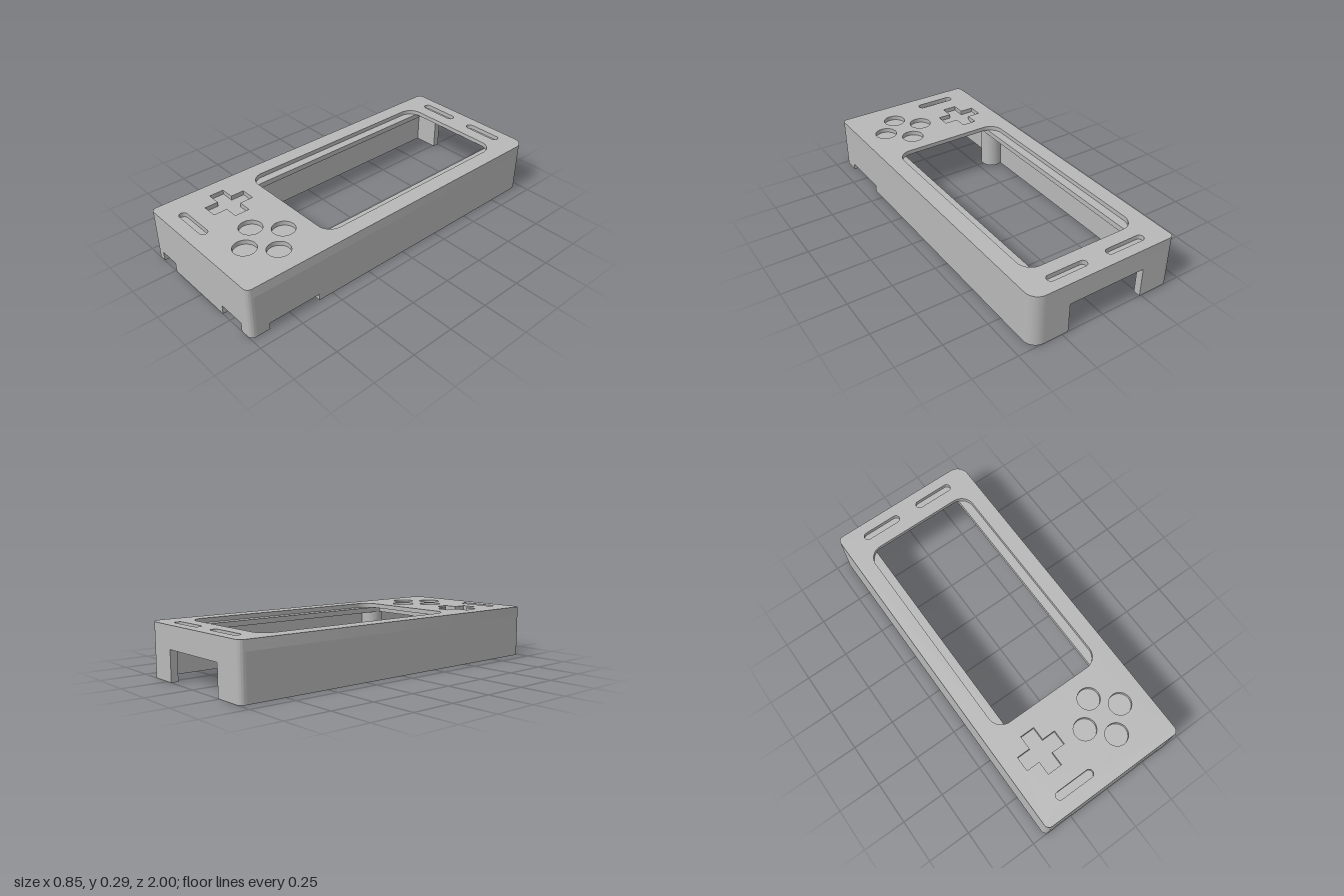
import * as THREE from 'three';
import { toCreasedNormals } from 'three/addons/utils/BufferGeometryUtils.js';

const W = 0.427, L = 1, T = 0.04;            // half width, half length, wall thickness
const TOP = 0.295, FLOOR = 0.27, UNDER = 0.24; // top face, recess floor, roof underside
const R = 0.03, BIG_R = 0.07;                // corner radii

export function createModel() {
  const group = new THREE.Group();
  const grey = new THREE.MeshStandardMaterial({ color: 0xb8b8b8 });
  grey.name = 'shellGrey';

  function add(name, geometry) {
    const mesh = new THREE.Mesh(toCreasedNormals(geometry, 0.6), grey);
    mesh.name = name;
    group.add(mesh);
    return mesh;
  }
  const extrude = (shape, depth) =>
    new THREE.ExtrudeGeometry(shape, { depth, bevelEnabled: false, curveSegments: 20 });
  // Plan shape (x, z) made into a slab between two heights
  const slab = (shape, low, high) =>
    extrude(shape, high - low).rotateX(Math.PI / 2).translate(0, high, 0);

  // Rounded rectangle; radii in the order back left, back right, front right, front left
  function roundRect(path, x0, z0, x1, z1, [a, b, c, d]) {
    path.moveTo(x0 + a, z0);
    path.lineTo(x1 - b, z0);
    path.absarc(x1 - b, z0 + b, b, -Math.PI / 2, 0);
    path.lineTo(x1, z1 - c);
    path.absarc(x1 - c, z1 - c, c, 0, Math.PI / 2);
    path.lineTo(x0 + d, z1);
    path.absarc(x0 + d, z1 - d, d, Math.PI / 2, Math.PI);
    path.lineTo(x0, z0 + a);
    path.absarc(x0 + a, z0 + a, a, Math.PI, Math.PI * 1.5);
    return path;
  }
  const outline = () => roundRect(new THREE.Shape(), -W, -L, W, L, [R, BIG_R, R, R]);

  // Top plate with the screen window and control recesses
  const plate = outline();
  plate.holes.push(roundRect(new THREE.Path(), -0.335, -0.82, 0.335, 0.443, [0.08, 0.08, 0.08, 0.08]));
  for (const [x, z] of [[-0.18, -0.917], [0.175, -0.917], [-0.18, 0.9]]) {
    const r = 0.0225;
    plate.holes.push(roundRect(new THREE.Path(), x - 0.117, z - r, x + 0.117, z + r, [r, r, r, r]));
  }
  for (const [x, z] of [[0.157, 0.585], [0.04, 0.704], [0.275, 0.704], [0.157, 0.822]]) {
    plate.holes.push(new THREE.Path().absarc(x, z, 0.062, 0, Math.PI * 2));
  }
  const a = 0.12, b = 0.042;
  const cross = [[-b, -a], [b, -a], [b, -b], [a, -b], [a, b], [b, b],
    [b, a], [-b, a], [-b, b], [-a, b], [-a, -b], [-b, -b]];
  plate.holes.push(new THREE.Path(cross.map(([x, z]) => new THREE.Vector2(x - 0.215, z + 0.66))));
  add('topPlate', slab(plate, FLOOR, TOP));

  // Lower roof layer: recess floors and side ledges around the display bay
  const ledge = outline();
  ledge.holes.push(roundRect(new THREE.Path(), -0.285, -0.87, 0.285, 0.5, [0, 0, 0, 0]));
  add('roofLedge', slab(ledge, UNDER, FLOOR));

  // Wall panel in elevation, with notches [from, to, height] cut up from the bottom edge
  function panel(from, to, notches) {
    const s = new THREE.Shape();
    s.moveTo(from, 0);
    for (const [n0, n1, h] of notches) {
      s.lineTo(n0, 0);
      s.lineTo(n0, h);
      s.lineTo(n1, h);
      s.lineTo(n1, 0);
    }
    s.lineTo(to, 0);
    s.lineTo(to, UNDER);
    s.lineTo(from, UNDER);
    return extrude(s, T);
  }
  add('frontWall', panel(-W + T, W - T, [[-0.365, -0.243, 0.053], [0.19, 0.35, 0.053]])
    .translate(0, 0, L - T));
  add('backWall', panel(-W + T, W - BIG_R, [[-0.24, 0.213, 0.17]]).translate(0, 0, -L));
  add('leftWall', panel(-L + BIG_R, L - T, [[0.585, 0.89, 0.037]])
    .rotateY(-Math.PI / 2).translate(W, 0, 0));
  add('rightWall', panel(-L + T, L - T, [])
    .rotateY(-Math.PI / 2).translate(-W + T, 0, 0));

  // Rounded wall corners
  for (const [sx, sz, r] of [[1, 1, R], [-1, 1, R], [-1, -1, R], [1, -1, BIG_R]]) {
    const size = Math.max(r, T);
    const pts = [[size, 0]];
    for (let i = 0; i <= 12; i++) {
      const t = (i / 12) * Math.PI / 2;
      pts.push([r - r * Math.sin(t), r - r * Math.cos(t)]);
    }
    pts.push([0, size]);
    if (size > T) pts.push([T, size], [T, T], [size, T]);
    else pts.push([T, T]);
    const unique = pts.filter((p, i) => i === 0 || Math.hypot(p[0] - pts[i - 1][0], p[1] - pts[i - 1][1]) > 1e-6);
    const shape = new THREE.Shape(unique.map(([x, z]) => new THREE.Vector2(sx * (W - x), sz * (L - z))));
    add('wallCorner', slab(shape, 0, UNDER));
  }

  // Screw posts with stepped holes open at the bottom
  const profile = [[0, 0.1], [0.032, 0.1], [0.032, 0.02], [0.05, 0.02], [0.05, 0.002],
    [0.065, 0.002], [0.065, UNDER], [0, UNDER]].map(([x, y]) => new THREE.Vector2(x, y));
  for (const [x, z] of [[-0.355, 0.5], [0.355, 0.5], [0.03, 0.92]]) {
    add('screwPost', new THREE.LatheGeometry(profile, 40)).position.set(x, 0, z);
  }
  return group;
}
